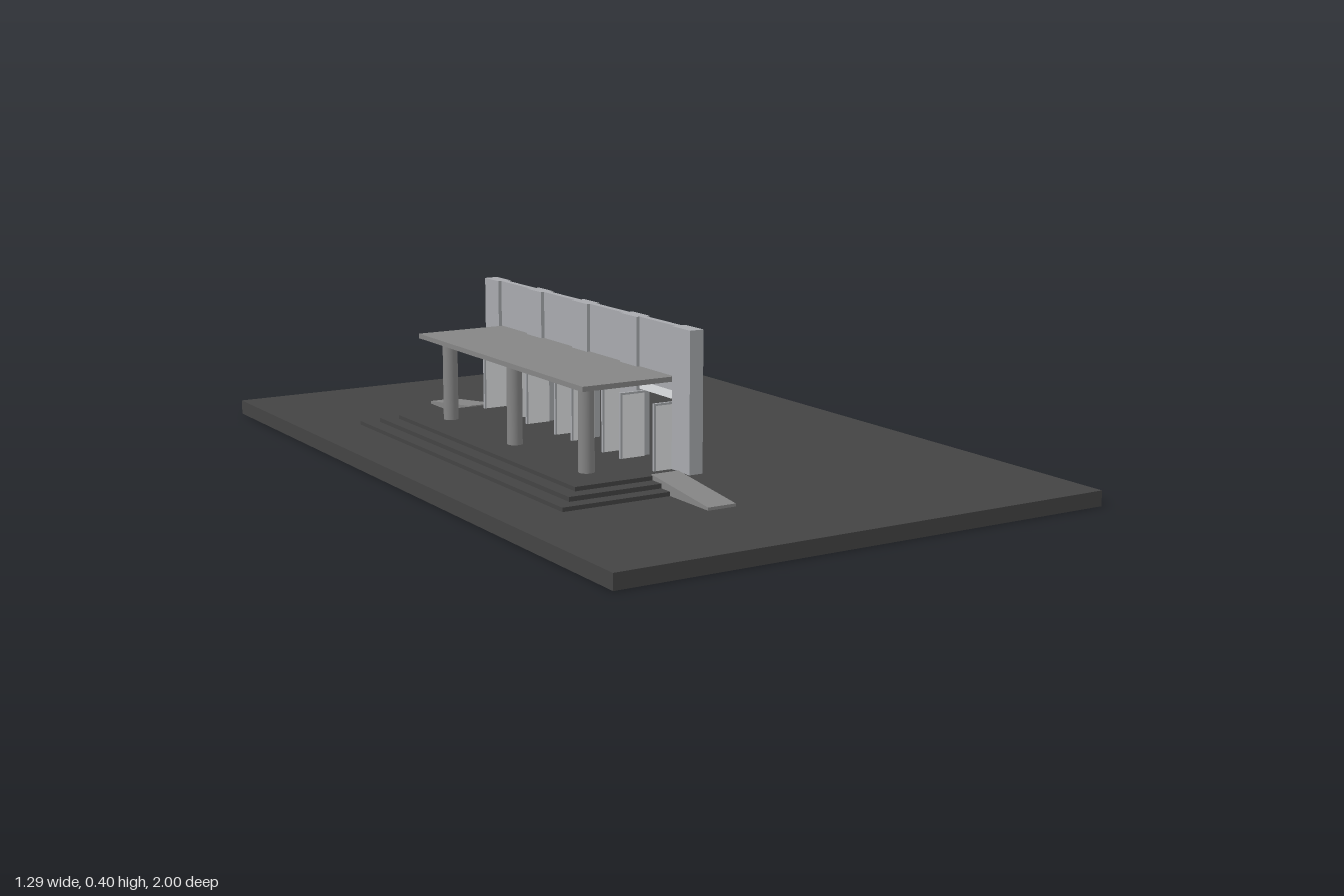
import * as THREE from 'three';

const material = (color) => new THREE.MeshStandardMaterial({ color });
const dark = material(0x444444);
const concrete = material(0x858585);
const wall = material(0xa8aaae);
const glass = material(0xe0e2e4);

export function createModel() {
  const model = new THREE.Group();

  // Box given by its lower and upper limits on each axis
  function box(name, mat, [x0, x1], [y0, y1], [z0, z1]) {
    const mesh = new THREE.Mesh(new THREE.BoxGeometry(x1 - x0, y1 - y0, z1 - z0), mat);
    mesh.position.set((x0 + x1) / 2, (y0 + y1) / 2, (z0 + z1) / 2);
    mesh.name = name;
    model.add(mesh);
    return mesh;
  }

  const ground = 0.037, floor = 0.068;
  box('groundSlab', dark, [-0.647, 0.647], [0, ground], [-1, 1]);

  // Stepped platform: only the top tier runs under the wall
  box('lowerStep', dark, [-0.498, -0.2], [ground, 0.047], [-0.535, 0.535]);
  box('middleStep', dark, [-0.46, -0.2], [ground, 0.058], [-0.498, 0.498]);
  box('platform', dark, [-0.423, -0.13], [ground, floor], [-0.46, 0.46]);

  // Sloping side ramps, drawn in the z-y plane and extruded along x
  for (const side of [1, -1]) {
    const profile = new THREE.Shape();
    profile.moveTo(side * 0.455, ground);
    profile.lineTo(side * 0.69, ground);
    profile.lineTo(side * 0.69, 0.044);
    profile.lineTo(side * 0.455, 0.071);
    const geometry = new THREE.ExtrudeGeometry(profile, { depth: 0.073, bevelEnabled: false });
    geometry.rotateY(-Math.PI / 2);
    const ramp = new THREE.Mesh(geometry, concrete);
    ramp.position.x = -0.147;
    ramp.name = 'sideRamp';
    model.add(ramp);
  }

  // Wall piers
  const spacing = 0.231, half = 0.0375;
  for (let i = -2; i <= 2; i++) {
    const z = i * spacing;
    box('pier', wall, [-0.146, -0.11], [floor, 0.402], [z - half, z + half]);
  }

  // Bays between piers: wall panels, transom and a pair of open doors
  for (let i = -2; i < 2; i++) {
    const z0 = i * spacing + half, z1 = (i + 1) * spacing - half;
    box('upperPanel', wall, [-0.137, -0.12], [0.31, 0.402], [z0, z1]);
    box('lowerPanel', wall, [-0.137, -0.117], [0.25, 0.31], [z0, z1]);
    box('transom', glass, [-0.137, -0.123], [0.23, 0.25], [z0, z1]);
    for (const [a, b] of [[z0, z0 + 0.007], [z1 - 0.007, z1]]) {
      box('doorLeaf', glass, [-0.189, -0.128], [floor, 0.221], [a, b]);
      box('doorStile', wall, [-0.194, -0.189], [floor, 0.226], [a, b]);
      box('doorTopRail', wall, [-0.189, -0.128], [0.221, 0.226], [a, b]);
    }
  }

  // Canopy on three round columns
  box('canopy', concrete, [-0.38, -0.137], [0.272, 0.284], [-0.42, 0.42]);
  for (const z of [-0.347, 0, 0.347]) {
    const column = new THREE.Mesh(new THREE.CylinderGeometry(0.019, 0.019, 0.272 - floor, 24), concrete);
    column.position.set(-0.328, (0.272 + floor) / 2, z);
    column.name = 'column';
    model.add(column);
  }
  return model;
}
